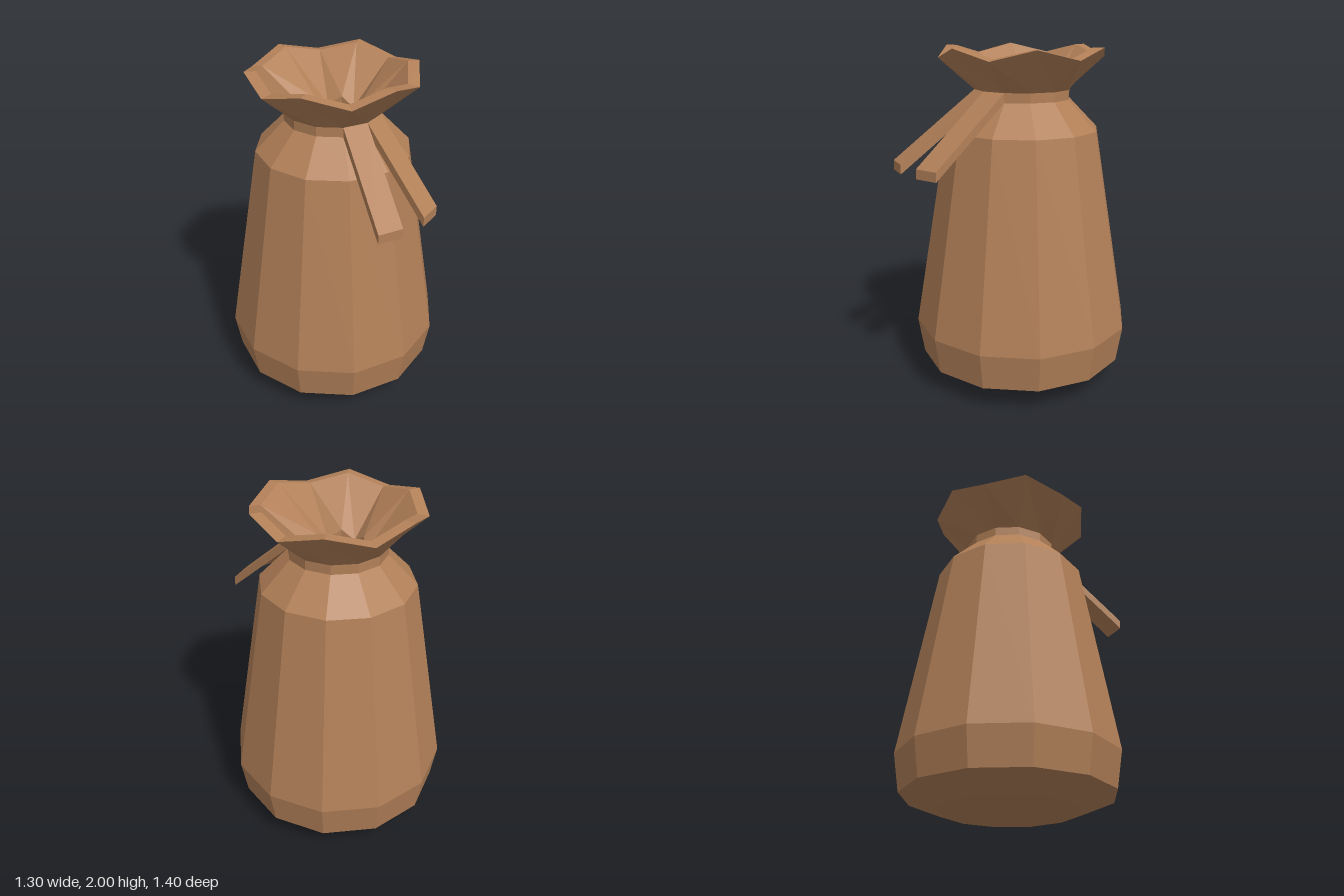
import * as THREE from 'three';

const SIDES = 12;
const NECK_R = 0.28, NECK_LOW = 1.705, NECK_TOP = 1.76;

const cloth = new THREE.MeshStandardMaterial({ color: 0xb28058, flatShading: true });
cloth.name = 'brown cloth';

// Faceted surface of revolution; each profile point is [radius, y, extra height on odd corners]
function turned(name, profile) {
  const geo = new THREE.LatheGeometry(profile.map(([r, y]) => new THREE.Vector2(r, y)), SIDES);
  const pos = geo.attributes.position;
  for (let k = 0; k < pos.count; k++) {
    const corner = Math.floor(k / profile.length);
    const wave = profile[k % profile.length][2] || 0;
    if (corner % 2) pos.setY(k, pos.getY(k) + wave);
  }
  return finish(name, geo);
}

function finish(name, geo) {
  const flat = geo.toNonIndexed();
  flat.computeVertexNormals();
  const mesh = new THREE.Mesh(flat, cloth);
  mesh.name = name;
  return mesh;
}

// Strap pulled out of one facet of the neck band along an offset
function strap(name, facet, offset) {
  const geo = new THREE.BoxGeometry(1, 1, 1);
  const pos = geo.attributes.position;
  for (let k = 0; k < pos.count; k++) {
    const a = (facet + (pos.getX(k) > 0 ? 1 : 0)) * 2 * Math.PI / SIDES;
    const t = pos.getZ(k) > 0 ? 1 : 0;
    const y = pos.getY(k) > 0 ? NECK_TOP : NECK_LOW;
    pos.setXYZ(k,
      NECK_R * Math.sin(a) + t * offset[0],
      y + t * offset[1],
      NECK_R * Math.cos(a) + t * offset[2]);
  }
  return finish(name, geo);
}

export function createModel() {
  const sack = new THREE.Group();
  sack.name = 'tiedSack';

  // Body with a shallow pointed underside and sloping shoulders
  sack.add(turned('body', [
    [0, 0], [0.41, 0.055], [0.615, 0.135], [0.65, 0.35], [0.45, 1.53], [NECK_R, NECK_LOW],
  ]));

  // Band around the neck
  sack.add(turned('neckBand', [[NECK_R, NECK_LOW], [NECK_R, NECK_TOP]]));

  // Flared wavy mouth: outside, lip, inside, and the sunken floor
  sack.add(turned('ruffledMouth', [
    [NECK_R, NECK_TOP], [0.485, 1.94, 0.06], [0.42, 1.95, 0.05],
    [0.155, 1.715, 0.05], [0.152, 1.66], [0, 1.66],
  ]));

  // Two loose ends of the tie
  sack.add(strap('frontStrap', 0, [0.085, -0.385, 0.475]));
  sack.add(strap('sideStrap', 1, [0.22, -0.385, 0.393]));

  // The straps reach forward, so the sack itself sits slightly back
  sack.children.forEach((part) => { part.position.z = -0.055; });
  return sack;
}
